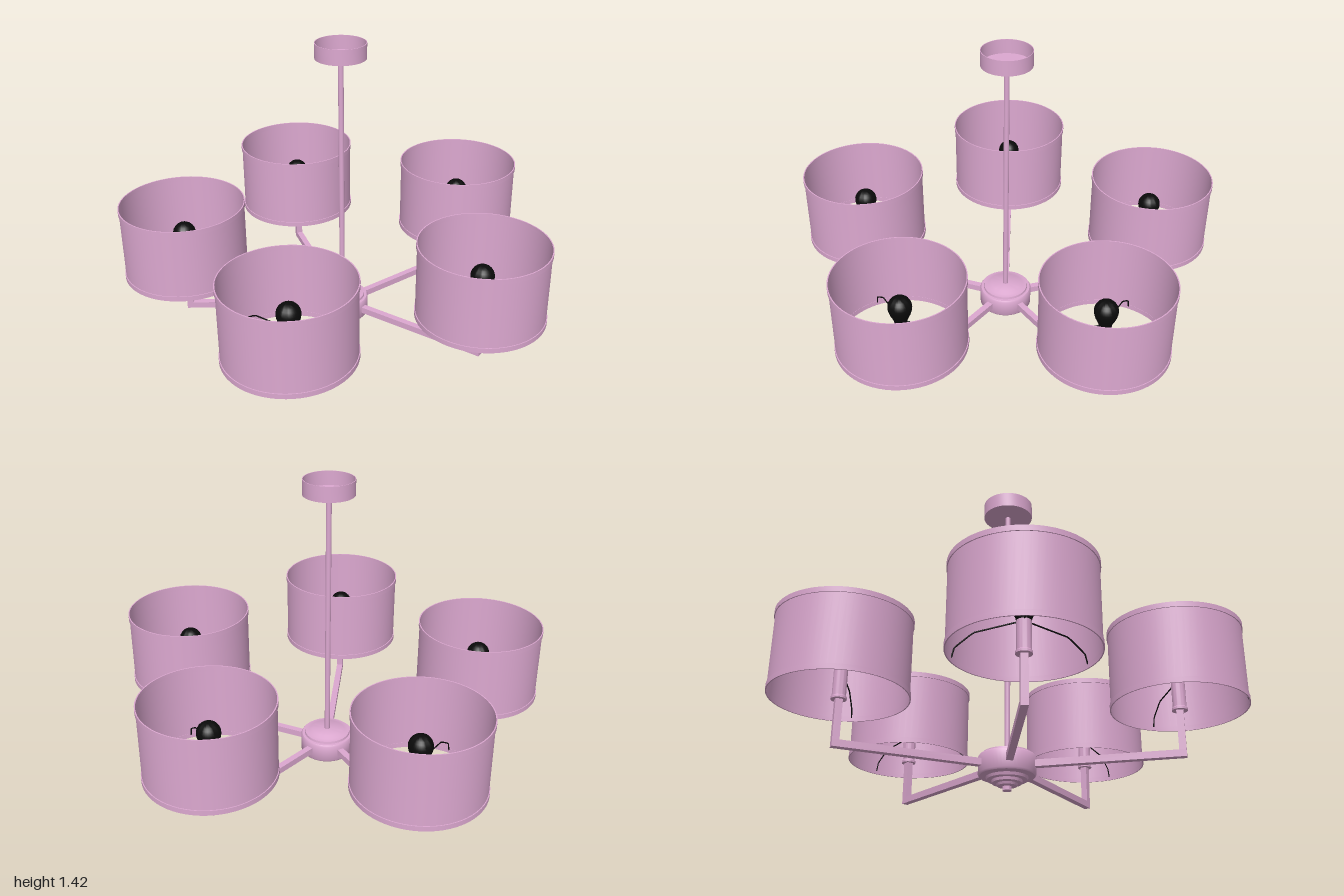
import * as THREE from 'three';
import { toCreasedNormals } from 'three/addons/utils/BufferGeometryUtils.js';

const ARM_COUNT = 5, REACH = 0.744, SHADE_R = 0.29, HUB_X = -0.071;

const pink = new THREE.MeshStandardMaterial({ color: 0xdca8d0, side: THREE.DoubleSide });
const black = new THREE.MeshStandardMaterial({ color: 0x0a0a0a, side: THREE.DoubleSide });

function add(parent, name, geometry, material, x = 0, y = 0, z = 0) {
  const mesh = new THREE.Mesh(geometry, material);
  mesh.name = name;
  mesh.position.set(x, y, z);
  parent.add(mesh);
  return mesh;
}

// Turned part from [radius, height] pairs, listed bottom to top
function turned(profile, segments = 48) {
  const points = profile.map(([r, y]) => new THREE.Vector2(r, y));
  return toCreasedNormals(new THREE.LatheGeometry(points, segments), 0.6);
}

// Straight-sided wire through a few points
function wire(points, radius) {
  const path = new THREE.CurvePath();
  for (let i = 1; i < points.length; i++) path.add(new THREE.LineCurve3(points[i - 1], points[i]));
  return new THREE.TubeGeometry(path, 16, radius, 6);
}

function createLamp() {
  const lamp = new THREE.Group();
  lamp.name = 'lamp';

  // Socket with a small collar under it
  add(lamp, 'socket', turned([[0, 0.298], [0.033, 0.298], [0.033, 0.308], [0.029, 0.312],
    [0.029, 0.435], [0, 0.435]], 32), pink);

  // Bulb: narrow neck flaring into a round head
  const bulb = [[0, 0.432], [0.029, 0.432], [0.032, 0.445], [0.046, 0.475]];
  for (let i = 0; i <= 8; i++) {
    const a = -0.3 + (Math.PI / 2 + 0.3) * i / 8;
    bulb.push([Math.max(0, 0.053 * Math.cos(a)), 0.507 + 0.053 * Math.sin(a)]);
  }
  add(lamp, 'bulb', turned(bulb, 32), black);

  // Drum shade, open at both ends, with a trim band at each rim
  add(lamp, 'shade', new THREE.CylinderGeometry(SHADE_R - 0.002, SHADE_R - 0.002, 0.35, 64, 1, true), pink, 0, 0.487, 0);
  for (const y of [0.3205, 0.6525]) {
    add(lamp, 'shadeBand', turned([[SHADE_R - 0.003, y - 0.0115], [SHADE_R + 0.002, y - 0.0115],
      [SHADE_R + 0.002, y + 0.0115], [SHADE_R - 0.003, y + 0.0115], [SHADE_R - 0.003, y - 0.0115]], 64), pink);
  }

  // Three wires carrying the shade
  for (const degrees of [0, 117, -114]) {
    const spoke = wire([
      new THREE.Vector3(0.02, 0.432, 0),
      new THREE.Vector3(0.2, 0.415, 0),
      new THREE.Vector3(0.275, 0.365, 0),
      new THREE.Vector3(0.286, 0.325, 0)], 0.003);
    add(lamp, 'shadeWire', spoke, black).rotation.y = THREE.MathUtils.degToRad(degrees);
  }
  return lamp;
}

export function createModel() {
  const model = new THREE.Group();
  model.name = 'chandelier';
  const body = new THREE.Group();
  body.name = 'body';
  body.position.x = HUB_X;
  model.add(body);

  // Central hub with stepped top and underside
  add(body, 'hub', turned([[0, 0], [0.02, 0], [0.02, 0.018], [0.042, 0.02], [0.046, 0.03], [0.065, 0.032],
    [0.068, 0.044], [0.088, 0.046], [0.092, 0.058], [0.12, 0.062], [0.125, 0.07], [0.125, 0.145],
    [0.12, 0.153], [0.108, 0.154], [0.106, 0.164], [0.085, 0.166], [0.07, 0.175], [0, 0.175]]), pink);

  // Hanging rod
  add(body, 'rod', new THREE.CylinderGeometry(0.0125, 0.0125, 1.19, 24), pink, 0, 0.765, 0);

  // Ceiling cup, open at the top
  add(body, 'ceilingCup', turned([[0, 1.355], [0.115, 1.355], [0.115, 1.425], [0.112, 1.425],
    [0.112, 1.36], [0, 1.36]]), pink);

  // Square arms, each with an upright post and a lamp
  for (let i = 0; i < ARM_COUNT; i++) {
    const arm = new THREE.Group();
    arm.name = 'arm';
    arm.rotation.y = i * 2 * Math.PI / ARM_COUNT;
    add(arm, 'armBar', new THREE.BoxGeometry(REACH - 0.085, 0.03, 0.03), pink, (REACH + 0.115) / 2, 0.11, 0);
    add(arm, 'armPost', new THREE.BoxGeometry(0.03, 0.175, 0.03), pink, REACH, 0.2125, 0);
    const lamp = createLamp();
    lamp.position.x = REACH;
    arm.add(lamp);
    body.add(arm);
  }
  return model;
}
